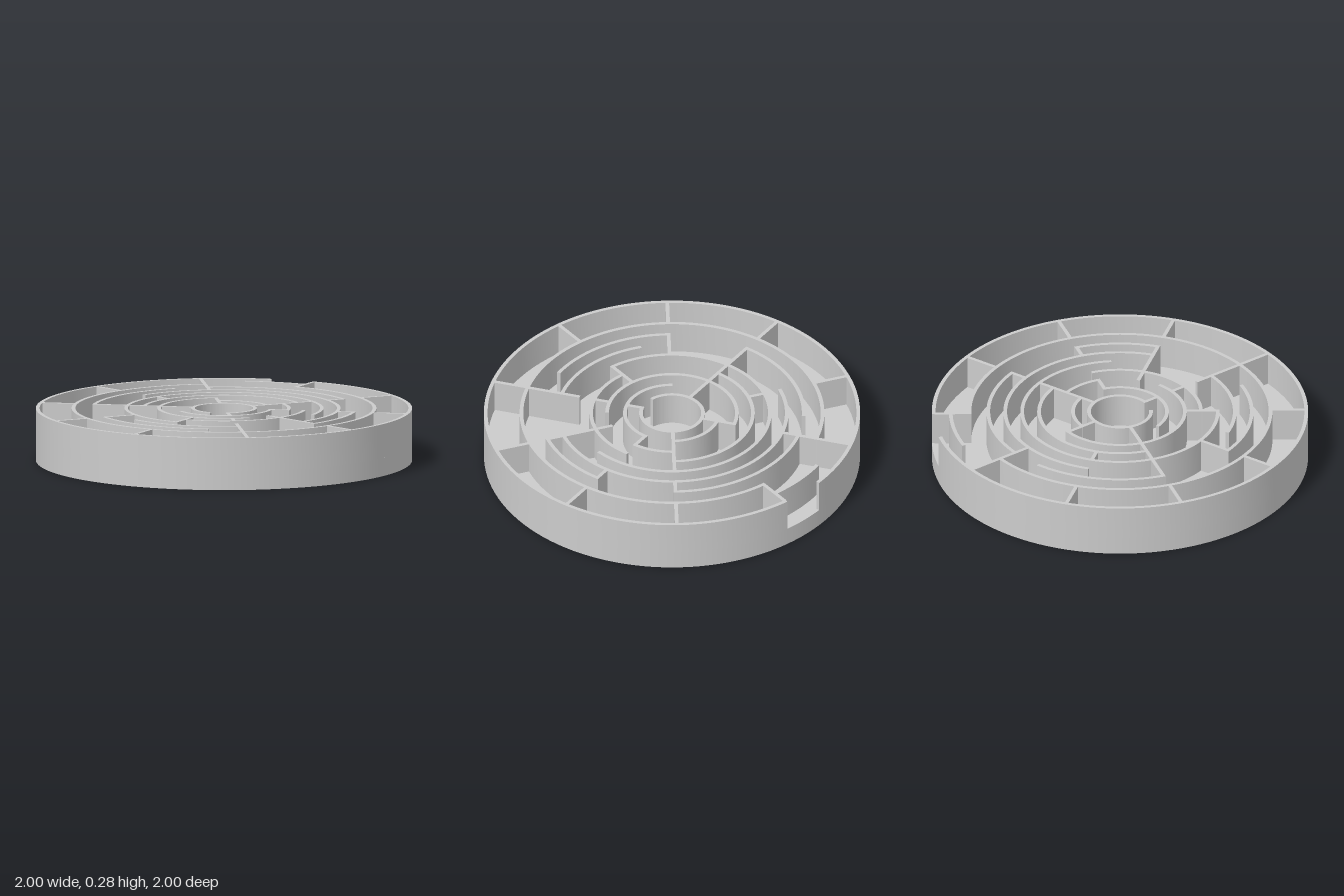
import * as THREE from 'three';
import { toCreasedNormals } from 'three/addons/utils/BufferGeometryUtils.js';

const FLOOR = 0.1, TOP = 0.28, T = 0.02; // floor level, wall top, wall thickness
const material = new THREE.MeshStandardMaterial({ color: 0xcccccc });

// Angles are in degrees, clockwise from the back (-z) as seen from above.
const toShapeAngle = (deg) => THREE.MathUtils.degToRad(90 - deg);

// Curved wall between two angles, centred on radius r
function arcWall(r, from, to, pad = T / 2 / r) {
  const a = toShapeAngle(from) + pad, b = toShapeAngle(to) - pad;
  const shape = new THREE.Shape();
  shape.absarc(0, 0, r + T / 2, a, b, true);
  shape.absarc(0, 0, r - T / 2, b, a, false);
  shape.closePath();
  const geometry = new THREE.ExtrudeGeometry(shape, {
    depth: TOP - FLOOR, bevelEnabled: false,
    curveSegments: Math.max(8, Math.ceil((to - from) / 3)),
  });
  geometry.rotateX(-Math.PI / 2).translate(0, FLOOR, 0);
  return new THREE.Mesh(toCreasedNormals(geometry, 0.5), material);
}

// Straight radial wall between two radii
function spokeWall(deg, r0, r1) {
  const geometry = new THREE.BoxGeometry(T, TOP - FLOOR, r1 - r0);
  geometry.translate(0, (TOP + FLOOR) / 2, -(r0 + r1) / 2);
  const mesh = new THREE.Mesh(geometry, material);
  mesh.rotation.y = -THREE.MathUtils.degToRad(deg);
  return mesh;
}

export function createModel() {
  const model = new THREE.Group();
  model.name = 'circularMaze';
  const add = (mesh, name) => {
    mesh.name = name;
    model.add(mesh);
  };

  // Solid floor disc
  const disc = new THREE.CylinderGeometry(1, 1, FLOOR, 120).translate(0, FLOOR / 2, 0);
  add(new THREE.Mesh(disc, material), 'floor');

  // Rim with the entrance notch
  add(arcWall(0.99, 71.6, 418, 0), 'rim');

  // Ring walls: radius, start, end
  const rings = [
    [0.9, 51, 72],
    [0.8, 72, 396],
    [0.7, 36, 108], [0.7, 144, 180], [0.7, 231, 288], [0.7, 324, 381],
    [0.61, 0, 108], [0.61, 108, 144], [0.61, 144, 180], [0.61, 216, 273],
    [0.52, 252, 517],
    [0.43, 144, 252], [0.43, 324, 468],
    [0.345, 108, 144], [0.345, 202, 324], [0.345, 324, 396],
    [0.25, 36, 108], [0.25, 144, 288],
    [0.165, 252, 576],
  ];
  for (const [r, from, to] of rings) add(arcWall(r, from, to), 'ringWall');

  // Ten outer spokes
  for (let i = 0; i < 10; i++) add(spokeWall(i * 36, 0.8, 0.985), 'outerSpoke');

  // Inner spokes: angle, inner radius, outer radius
  const spokes = [
    [0, 0.43, 0.52],
    [36, 0.61, 0.8], [36, 0.165, 0.345],
    [108, 0.165, 0.52], [108, 0.61, 0.7],
    [144, 0.61, 0.7], [144, 0.25, 0.345],
    [180, 0.335, 0.7],
    [216, 0.51, 0.8], [216, 0.345, 0.43], [216, 0.165, 0.25],
    [252, 0.345, 0.52],
    [288, 0.52, 0.7],
    [324, 0.165, 0.7],
  ];
  for (const [deg, r0, r1] of spokes) add(spokeWall(deg, r0, r1), 'innerSpoke');

  return model;
}
